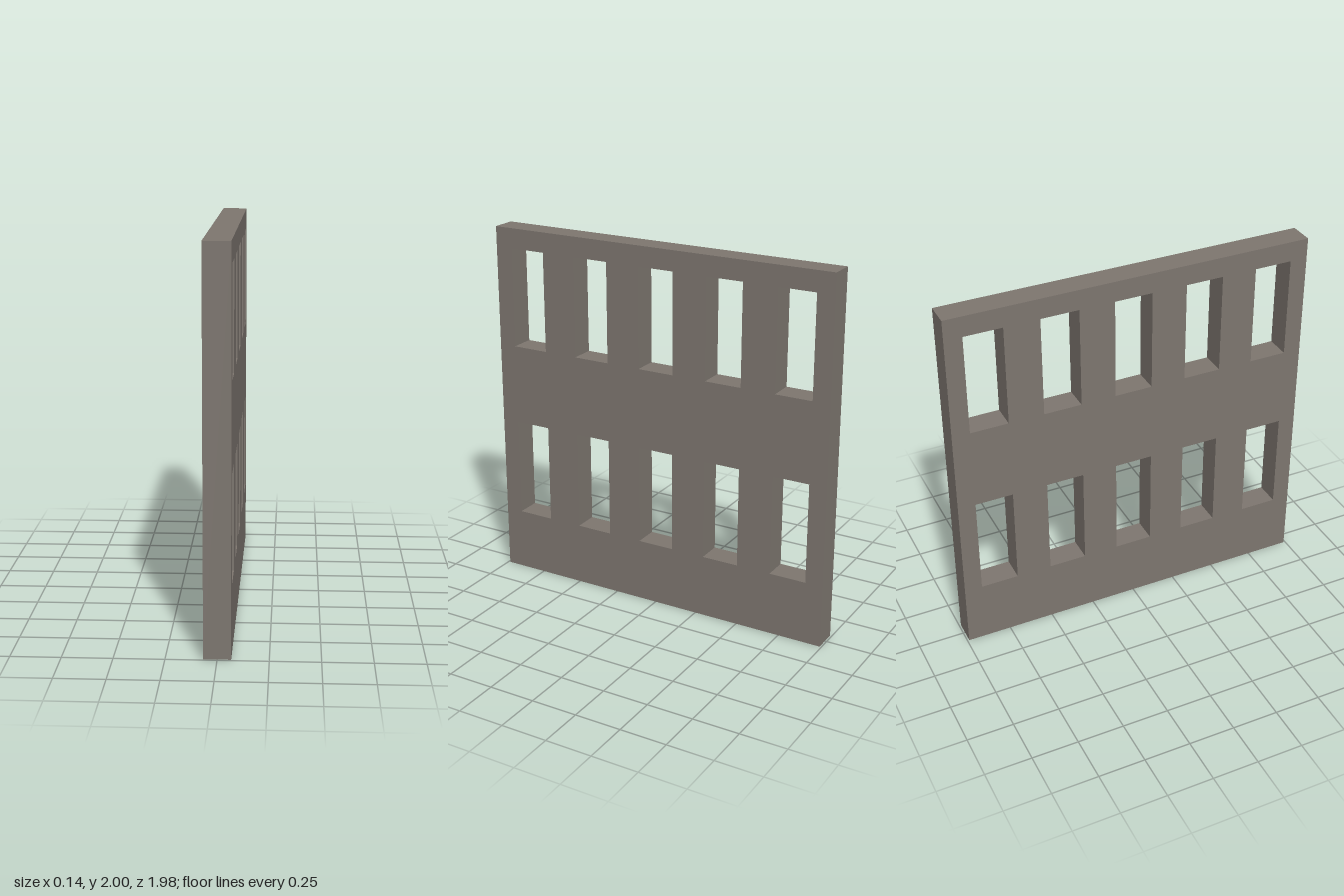
import * as THREE from 'three';

const WIDTH = 1.98, HEIGHT = 2, THICKNESS = 0.135;
const OPENING_W = 0.205, OPENING_H = 0.55, PITCH = 0.396;
const SILLS = [0.347, 1.34];

// Closed rectangular outline from its lower corner
function rectangle(path, x, y, w, h) {
  path.moveTo(x, y);
  path.lineTo(x + w, y);
  path.lineTo(x + w, y + h);
  path.lineTo(x, y + h);
  path.closePath();
  return path;
}

export function createModel() {
  const group = new THREE.Group();
  group.name = 'windowWall';
  const stone = new THREE.MeshStandardMaterial({ color: 0x7d766f });
  stone.name = 'warm grey stone';

  // Wall slab with two rows of five window openings
  const outline = rectangle(new THREE.Shape(), -WIDTH / 2, 0, WIDTH, HEIGHT);
  for (const sill of SILLS) {
    for (let i = -2; i <= 2; i++) {
      outline.holes.push(
        rectangle(new THREE.Path(), i * PITCH - OPENING_W / 2, sill, OPENING_W, OPENING_H));
    }
  }
  const geometry = new THREE.ExtrudeGeometry(outline, { depth: THICKNESS, bevelEnabled: false });
  geometry.translate(0, 0, -THICKNESS / 2);
  geometry.rotateY(Math.PI / 2); // run the wall along z

  const wall = new THREE.Mesh(geometry, stone);
  wall.name = 'wall';
  group.add(wall);
  return group;
}
